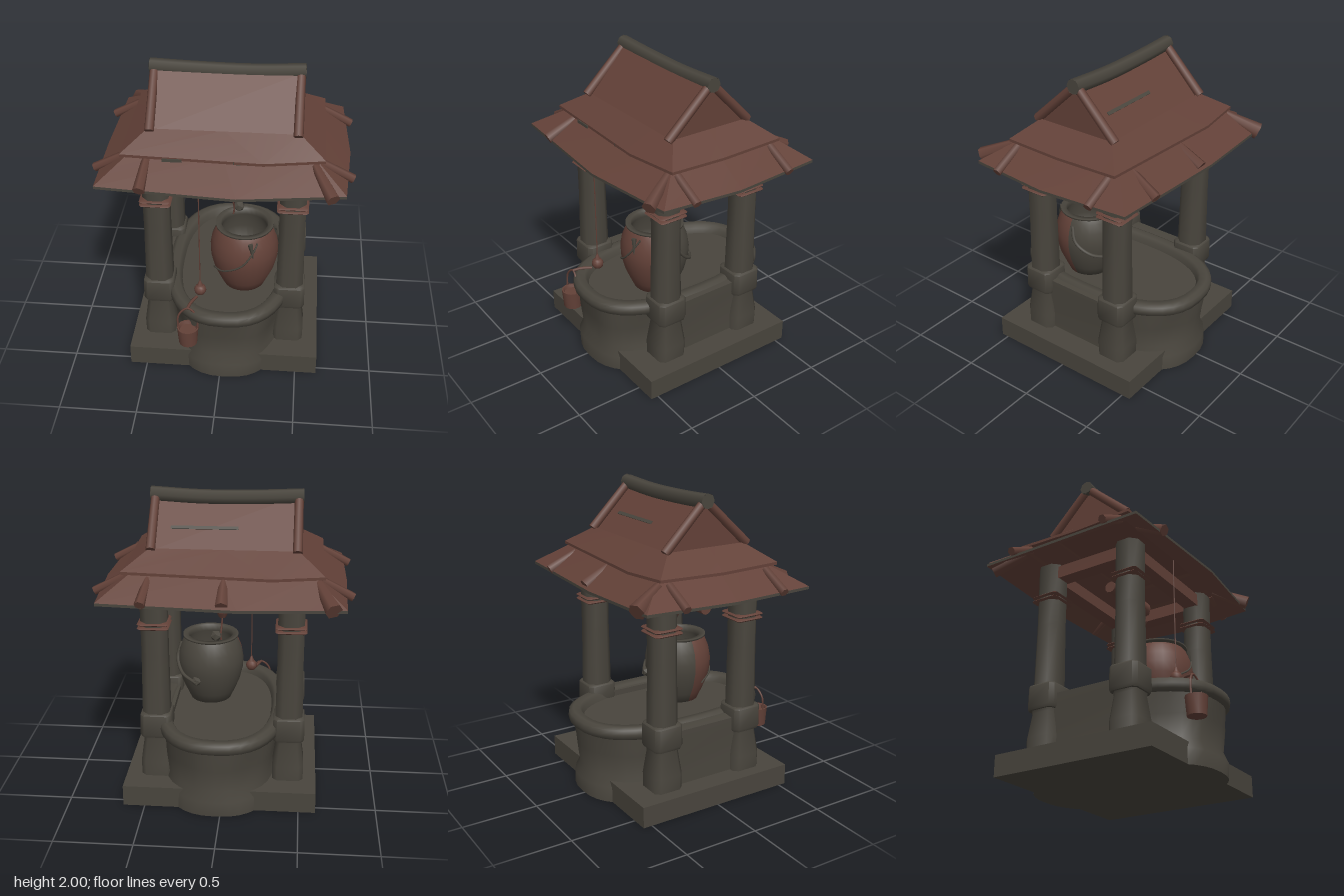
import * as THREE from 'three';
import { toCreasedNormals } from 'three/addons/utils/BufferGeometryUtils.js';

const stone = new THREE.MeshStandardMaterial({ color: 0x49453d, side: THREE.DoubleSide });
stone.name = 'dark stone';
const wood = new THREE.MeshStandardMaterial({ color: 0x634138, side: THREE.DoubleSide });
wood.name = 'red brown wood';

const V = (x, y, z) => new THREE.Vector3(x, y, z);

function part(parent, name, geometry, material, x = 0, y = 0, z = 0) {
  const mesh = new THREE.Mesh(geometry, material);
  mesh.name = name;
  mesh.position.set(x, y, z);
  parent.add(mesh);
  return mesh;
}

// Skin between closed loops of points; loops run clockwise seen from above
function loft(loops, crease = 0.6) {
  const pos = [];
  for (let k = 0; k < loops.length - 1; k++) {
    const a = loops[k], b = loops[k + 1], n = a.length;
    for (let i = 0; i < n; i++) {
      const j = (i + 1) % n;
      for (const p of [a[j], a[i], b[i], a[j], b[i], b[j]]) pos.push(p.x, p.y, p.z);
    }
  }
  const g = new THREE.BufferGeometry();
  g.setAttribute('position', new THREE.Float32BufferAttribute(pos, 3));
  return toCreasedNormals(g, crease);
}

// Round pole between two points
function rod(parent, name, a, b, ra, rb, material, sides = 8) {
  const d = b.clone().sub(a);
  const g = new THREE.CylinderGeometry(rb, ra, d.length(), sides);
  const m = part(parent, name, g, material);
  m.position.copy(a).add(b).multiplyScalar(0.5);
  m.quaternion.setFromUnitVectors(V(0, 1, 0), d.normalize());
}

function tube(parent, name, points, r, material) {
  const curve = new THREE.CatmullRomCurve3(points);
  return part(parent, name, new THREE.TubeGeometry(curve, 16, r, 6), material);
}

// Square column with cut corners; profile is a list of [half width, y]
function column(profile, flat = 0.6) {
  const loops = profile.map(([h, y]) => {
    const c = h * flat;
    return [[-c, -h], [c, -h], [h, -c], [h, c], [c, h], [-c, h], [-h, c], [-h, -c]].map(([x, z]) => V(x, y, z));
  });
  const top = profile[profile.length - 1][1], low = profile[0][1];
  const cap = (y) => loops[0].map(() => V(0, y, 0));
  return loft([cap(low), ...loops, cap(top)], 0.9);
}

function buildBasin(root) {
  const basin = new THREE.Group();
  basin.name = 'basin';
  root.add(basin);
  part(basin, 'baseSlab', new THREE.BoxGeometry(1.25, 0.14, 1.11), stone, 0.015, 0.07, -0.005);
  // Rounded oval ring, shrunk by d
  const oval = (d, y, wobble = 0) => Array.from({ length: 40 }, (_, i) => {
    const t = (i / 40) * Math.PI * 2, c = Math.cos(t), s = Math.sin(t), p = 0.82;
    const w = wobble * Math.sin(t * 7);
    return V(0.03 + Math.sign(c) * Math.abs(c) ** p * Math.max(0, 0.43 + d + w), y,
      -0.008 + Math.sign(s) * Math.abs(s) ** p * Math.max(0, 0.675 + d + w));
  });
  const center = (y) => oval(-1, y);
  part(basin, 'basinWall', loft([center(0), oval(-0.03, 0), oval(-0.03, 0.1, 0.006), oval(-0.06, 0.17, 0.008),
    oval(-0.045, 0.32, 0.01), oval(-0.03, 0.46)], 0.9), stone);
  part(basin, 'basinRim', loft([oval(-0.03, 0.445), oval(-0.005, 0.46), oval(0, 0.49), oval(-0.005, 0.52), oval(-0.03, 0.535),
    oval(-0.075, 0.53), oval(-0.09, 0.51), oval(-0.1, 0.47)], 0.9), stone);
  part(basin, 'basinFloor', loft([oval(-0.09, 0.475), center(0.475)]), stone);
  // Straight walls between the pillars
  for (const x of [-0.405, 0.42])
    part(basin, 'sideWall', loft([[0.065, 0.13], [0.06, 0.3], [0.07, 0.45], [0.07, 0.515], [0, 0.52]].map(([h, y]) =>
      [[-h, -0.3], [h, -0.3], [h, 0.3], [-h, 0.3]].map(([a, b]) => V(a, y, b)))), stone, x, 0, 0);
}

function buildPillars(root) {
  for (const [x, sx] of [[-0.425, 'right'], [0.438, 'left']]) {
    for (const [z, sz] of [[0.295, 'Front'], [-0.31, 'Back']]) {
      const g = new THREE.Group();
      g.name = sx + sz + 'Pillar';
      g.position.set(x, 0, z);
      root.add(g);
      part(g, 'foot', column([[0.1, 0.13], [0.102, 0.24], [0.08, 0.4], [0.085, 0.43]], 0.7), stone);
      part(g, 'block', column([[0.095, 0.42], [0.102, 0.44], [0.1, 0.575], [0.092, 0.585]], 0.75), stone);
      part(g, 'shaft', column([[0.088, 0.57], [0.082, 1.0], [0.084, 1.43]], 0.5), stone);
      for (const y of [1.178, 1.205])
        part(g, 'band', column([[0.09, y - 0.008], [0.099, y], [0.09, y + 0.008]], 0.85), wood);
    }
  }
  // Beams tying the pillar heads together
  for (const z of [0.295, -0.31]) part(root, 'crossBeam', new THREE.BoxGeometry(0.8, 0.085, 0.1), wood, 0, 1.37, z);
  for (const x of [-0.425, 0.438]) part(root, 'sideBeam', new THREE.BoxGeometry(0.1, 0.085, 0.55), wood, x, 1.37, 0);
}

function buildRoof(root) {
  const roof = new THREE.Group();
  roof.name = 'roof';
  root.add(roof);
  const ring = (pts, y, dy = 0) => pts.map(([x, z], i) => V(x, y + (i % 2 ? 0 : dy), z));
  const tier = (name, outer, inner, y0, y1, t, edge) => {
    part(roof, name, loft([ring(inner, y1 - t), ring(outer, y0, 0.012)]), wood);
    part(roof, name + 'Edge', loft([ring(outer, y0, 0.012), ring(outer, y0 + t * 0.6, 0.012)]), edge);
    part(roof, name + 'Top', loft([ring(outer, y0 + t * 0.6, 0.012), ring(inner, y1)]), wood);
  };
  // Lower skirt and middle tier
  tier('skirt',
    [[-0.75, -0.61], [-0.1, -0.63], [0.75, -0.6], [0.785, 0], [0.75, 0.53], [0.1, 0.6], [-0.76, 0.55], [-0.77, 0]],
    [[-0.56, -0.42], [0, -0.43], [0.56, -0.42], [0.57, 0], [0.56, 0.34], [0, 0.36], [-0.56, 0.35], [-0.57, 0]],
    1.385, 1.55, 0.03, stone);
  tier('middleTier',
    [[-0.62, -0.44], [-0.3, -0.47], [0.62, -0.43], [0.62, 0], [0.62, 0.38], [0.25, 0.425], [-0.62, 0.405], [-0.62, 0]],
    [[-0.46, -0.29], [0, -0.29], [0.46, -0.29], [0.46, 0], [0.46, 0.26], [0, 0.26], [-0.46, 0.26], [-0.46, 0]],
    1.53, 1.67, 0.03, wood);

  // Gable body
  const tri = new THREE.Shape([[-0.285, 1.655], [0.275, 1.655], [0.01, 1.945]].map(([a, y]) => new THREE.Vector2(-a, y)));
  const body = new THREE.ExtrudeGeometry(tri, { depth: 0.89, bevelEnabled: false });
  body.rotateY(Math.PI / 2);
  part(roof, 'gable', body, wood, -0.445, 0, 0);
  for (const x of [-0.45, 0.45]) {
    rod(roof, 'gablePole', V(x, 1.665, 0.29), V(x, 1.945, -0.01), 0.03, 0.028, wood);
    rod(roof, 'gablePole', V(x, 1.665, -0.305), V(x, 1.945, -0.03), 0.03, 0.028, wood);
  }
  // Worn grey streaks on the boards
  const streak = part(roof, 'wornStreak', new THREE.BoxGeometry(0.42, 0.006, 0.022), stone, 0.13, 1.773, -0.167);
  streak.rotation.x = -0.777;
  for (const [x, w] of [[0.17, 0.2], [-0.3, 0.12]]) {
    part(roof, 'wornEdge', new THREE.BoxGeometry(w, 0.02, 0.006), stone, x, 1.54, 0.418);
  }
  // Sagging ridge pole
  tube(roof, 'ridge', [V(-0.48, 1.952, -0.02), V(-0.2, 1.94, -0.022), V(0.15, 1.936, -0.022), V(0.48, 1.952, -0.02)], 0.047, stone);
  for (const s of [-1, 1]) {
    const cap = part(roof, 'ridgeEnd', new THREE.CircleGeometry(0.047, 8), stone, s * 0.48, 1.952, -0.02);
    cap.rotation.y = s * Math.PI / 2;
  }
  // Rafter ends resting on the skirt: inner x, z to outer x, z, end radius
  const rafters = [
    [-0.46, 0.38, -0.48, 0.58, 0.038], [0.56, 0.37, 0.67, 0.58, 0.045], [-0.58, -0.43, -0.67, -0.63, 0.055],
    [0.45, -0.43, 0.475, -0.62, 0.034], [-0.01, -0.44, -0.01, -0.61, 0.042],
    [-0.6, -0.37, -0.795, -0.37, 0.028], [0.6, -0.37, 0.795, -0.37, 0.028],
    [-0.6, 0.33, -0.795, 0.33, 0.028], [0.6, 0.33, 0.795, 0.33, 0.028],
  ];
  for (const [x0, z0, x1, z1, r] of rafters)
    rod(roof, 'rafterEnd', V(x0, 1.515, z0), V(x1, 1.415, z1), 0.028, r, wood, 6);
}

function buildJar(root) {
  const jar = new THREE.Group();
  jar.name = 'jar';
  jar.position.set(0.128, 0, 0.163);
  root.add(jar);
  const p = (list) => list.map(([r, y]) => new THREE.Vector2(r, y));
  const side = p([[0, 0.475], [0.14, 0.475], [0.17, 0.54], [0.2, 0.61], [0.222, 0.7], [0.226, 0.77], [0.214, 0.84], [0.19, 0.9], [0.172, 0.925]]);
  part(jar, 'jarFront', new THREE.LatheGeometry(side, 14, -Math.PI / 2, Math.PI), wood);
  part(jar, 'jarBack', new THREE.LatheGeometry(side, 14, Math.PI / 2, Math.PI), stone);
  part(jar, 'jarLip', new THREE.LatheGeometry(p([[0.17, 0.92], [0.19, 0.93], [0.19, 0.942], [0.155, 0.942], [0.15, 0.9], [0.19, 0.78], [0.17, 0.6], [0, 0.56]]), 28), stone);
  // Cord slung around the belly
  const on = (deg, r, y) => V(Math.sin(deg * Math.PI / 180) * r, y, Math.cos(deg * Math.PI / 180) * r);
  tube(jar, 'cord', [on(-70, 0.21, 0.62), on(-35, 0.222, 0.665), on(0, 0.231, 0.75), on(20, 0.215, 0.85), on(28, 0.2, 0.9)], 0.006, stone);
  tube(jar, 'cord', [on(95, 0.2, 0.88), on(105, 0.23, 0.78), on(130, 0.235, 0.7), on(160, 0.24, 0.66)], 0.012, stone);
  rod(jar, 'cordKnot', V(0.05, 0.9, 0.195), V(0.07, 0.8, 0.21), 0.018, 0.004, stone, 5);
  part(jar, 'cordKnot', new THREE.IcosahedronGeometry(0.035, 0), stone, 0.08, 0.665, -0.2);
}

function buildWindlass(root) {
  const g = new THREE.Group();
  g.name = 'windlass';
  root.add(g);
  const z = 0.08;
  rod(g, 'axle', V(-0.33, 1.235, z), V(-0.01, 1.24, z), 0.038, 0.04, wood, 12);
  rod(g, 'drum', V(-0.02, 1.24, z), V(0.08, 1.24, z), 0.058, 0.055, wood, 14);
  rod(g, 'axleTip', V(0.08, 1.24, z), V(0.14, 1.235, z), 0.05, 0.008, wood, 12);
  rod(g, 'pulley', V(0.04, 1.2, z), V(0.04, 1.13, z), 0.035, 0.042, wood, 7);
  rod(g, 'pulleyTip', V(0.04, 1.13, z), V(0.04, 1.09, z), 0.042, 0.022, wood, 7);
  tube(g, 'jarRope', [V(0.04, 1.1, z), V(0.045, 1.03, 0.07), V(0.05, 0.97, 0.05), V(0.045, 0.925, 0.05)], 0.006, wood);
  part(g, 'hook', new THREE.IcosahedronGeometry(0.04, 0), stone, 0.08, 0.975, 0.03);
}

function buildBucket(root) {
  const g = new THREE.Group();
  g.name = 'bucket';
  root.add(g);
  rod(g, 'bellRope', V(-0.14, 1.41, 0.445), V(-0.14, 0.62, 0.445), 0.004, 0.004, wood, 6);
  part(g, 'ropeWeight', new THREE.SphereGeometry(0.04, 10, 8), wood, -0.14, 0.585, 0.445);
  rod(g, 'ropeWeightNeck', V(-0.14, 0.605, 0.445), V(-0.14, 0.655, 0.445), 0.025, 0.006, wood);
  const pail = [[0, 0.28], [0.06, 0.28], [0.07, 0.405], [0.06, 0.405], [0.052, 0.385], [0, 0.385]];
  part(g, 'pail', toCreasedNormals(new THREE.LatheGeometry(pail.map(([r, y]) => new THREE.Vector2(r, y)), 14), 0.6), wood, -0.205, 0, 0.615);
  tube(g, 'pailHandle', [V(-0.27, 0.4, 0.615), V(-0.262, 0.5, 0.61), V(-0.205, 0.55, 0.6), V(-0.148, 0.5, 0.61), V(-0.14, 0.4, 0.615)], 0.007, wood);
  tube(g, 'pailStrap', [V(-0.205, 0.55, 0.6), V(-0.19, 0.555, 0.55), V(-0.16, 0.55, 0.48)], 0.01, wood);
}

export function createModel() {
  const root = new THREE.Group();
  root.name = 'well';
  [buildBasin, buildPillars, buildRoof, buildJar, buildWindlass, buildBucket].forEach((build) => build(root));
  return root;
}
